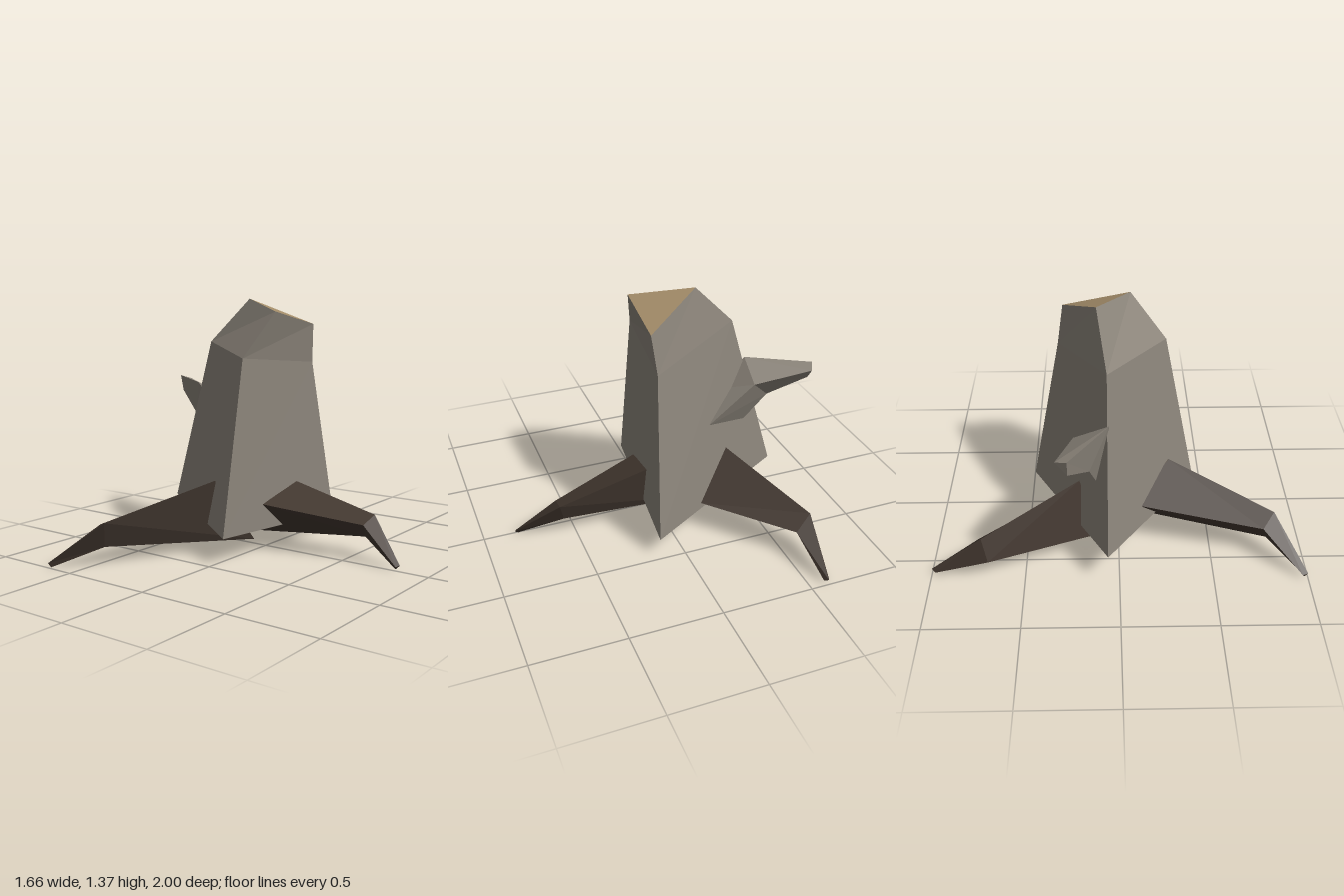
import * as THREE from 'three';

const material = (name, color) => {
  const m = new THREE.MeshStandardMaterial({ color });
  m.name = name;
  return m;
};

// Faceted loft through triangular rings; group 0 = sides, 1 = start cap, 2 = end cap
function loft(name, rings, materials) {
  const tris = [];
  for (let i = 0; i < rings.length - 1; i++) {
    for (let j = 0; j < 3; j++) {
      const k = (j + 1) % 3;
      const a = rings[i][j], b = rings[i][k], c = rings[i + 1][k], d = rings[i + 1][j];
      tris.push([a, b, c], [a, c, d]);
    }
  }
  const sideCount = tris.length * 3;
  const first = rings[0], last = rings[rings.length - 1];
  tris.push([first[2], first[1], first[0]], [last[0], last[1], last[2]]);

  // Turn all faces outward whichever way the rings run
  let volume = 0;
  for (const t of tris) {
    const [a, b, c] = t.map((p) => new THREE.Vector3(...p));
    volume += a.dot(b.cross(c));
  }
  if (volume < 0) tris.forEach((t) => t.reverse());

  const geometry = new THREE.BufferGeometry();
  geometry.setAttribute('position', new THREE.Float32BufferAttribute(tris.flat(2), 3));
  geometry.computeVertexNormals();
  geometry.addGroup(0, sideCount, 0);
  geometry.addGroup(sideCount, 3, 1);
  geometry.addGroup(sideCount + 3, 3, 2);
  const mesh = new THREE.Mesh(geometry, materials);
  mesh.name = name;
  return mesh;
}

export function createModel() {
  const bark = material('grey bark', 0x8b847a);
  const rootBark = material('dark root bark', 0x42372f);
  const wood = material('cut wood', 0xa38c68);

  const group = new THREE.Group();
  group.name = 'treeStump';

  // Three-sided trunk with a slanted cut on top: left, front and back corners
  group.add(loft('trunk', [
    [[-0.705, 0.2, -0.06], [0.045, 0.145, 0.44], [0.14, 0.12, -0.485]],
    [[-0.43, 1.13, -0.06], [0.04, 1.07, 0.26], [0.095, 1.02, -0.32]],
    [[-0.19, 1.375, -0.11], [0.115, 1.31, 0.07], [0.12, 1.235, -0.29]],
  ], [bark, wood, wood]));

  // Broken branch stub
  group.add(loft('branch', [
    [[-0.36, 0.72, -0.05], [-0.24, 0.61, -0.23], [-0.5, 0.54, -0.12]],
    [[-0.52, 0.89, -0.05], [-0.5, 0.81, -0.23], [-0.62, 0.69, -0.15]],
    [[-0.83, 0.9, -0.25], [-0.8, 0.88, -0.31], [-0.81, 0.81, -0.25]],
  ], [bark, wood, bark]));

  // Roots: two upper edges and one lower edge, from trunk to tip
  const roots = {
    leftRoot: [
      [[0.09, 0.36, -0.16], [0.075, 0.275, 0.13], [-0.2, 0.05, -0.08]],
      [[0.6, 0.235, -0.165], [0.595, 0.2, -0.05], [0.57, 0.12, -0.12]],
      [[0.83, 0.03, -0.02], [0.815, 0.025, 0], [0.81, 0.01, -0.01]],
    ],
    frontRoot: [
      [[-0.135, 0.405, 0.28], [-0.39, 0.29, 0.08], [-0.08, 0.03, 0]],
      [[-0.41, 0.245, 0.84], [-0.51, 0.21, 0.77], [-0.45, 0.105, 0.8]],
      [[-0.66, 0.03, 1], [-0.675, 0.03, 0.97], [-0.655, 0.005, 0.985]],
    ],
    backRoot: [
      [[-0.16, 0.18, -0.33], [-0.355, 0.43, -0.21], [-0.39, 0.09, -0.1]],
      [[-0.53, 0.18, -0.75], [-0.62, 0.26, -0.72], [-0.65, 0.125, -0.69]],
      [[-0.58, 0.02, -0.98], [-0.595, 0.035, -1], [-0.61, 0.02, -0.98]],
    ],
  };
  for (const [name, rings] of Object.entries(roots)) {
    group.add(loft(name, rings, [rootBark, wood, rootBark]));
  }
  return group;
}
